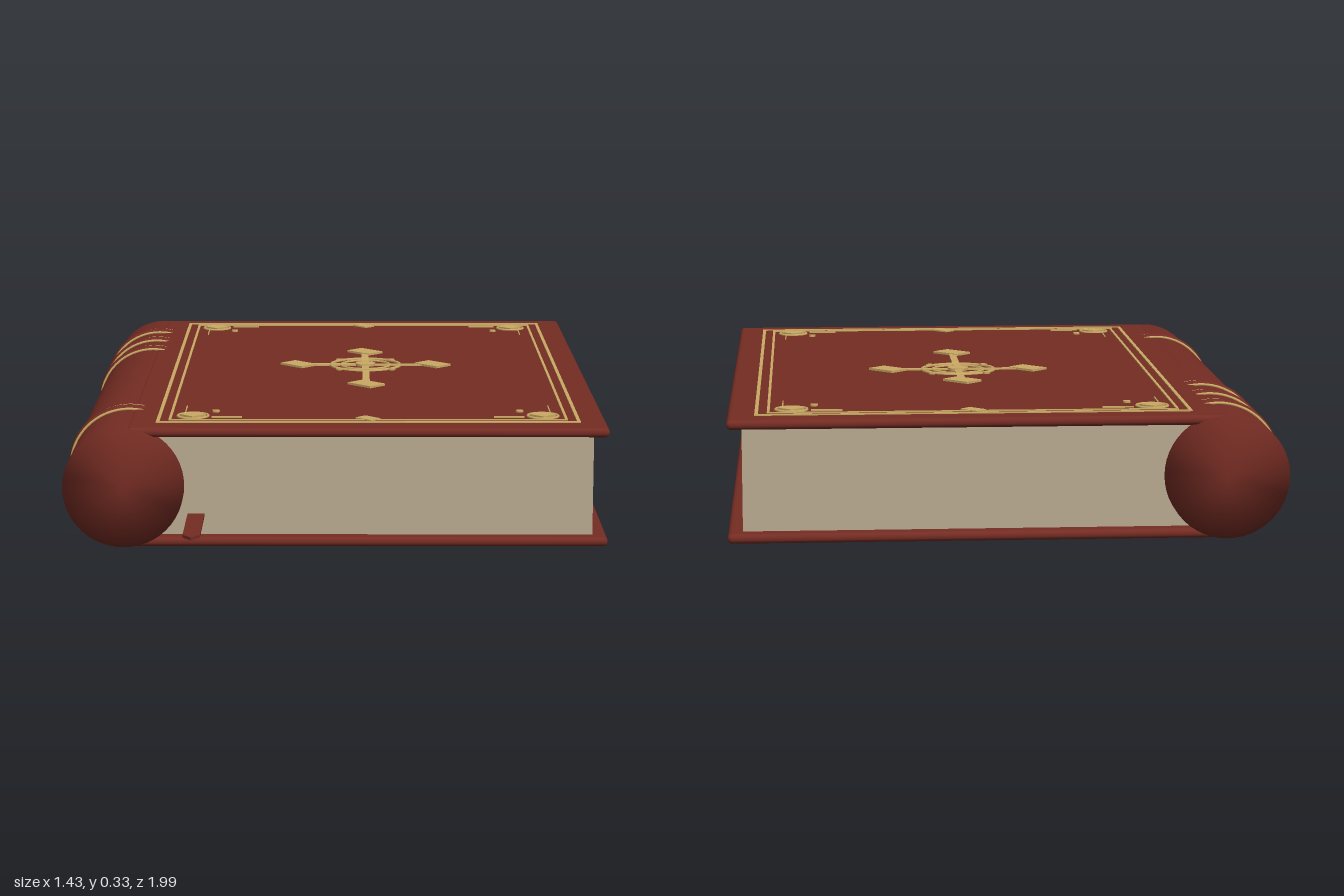
import * as THREE from 'three';
import { mergeVertices } from 'three/addons/utils/BufferGeometryUtils.js';
import { RoundedBoxGeometry } from 'three/addons/geometries/RoundedBoxGeometry.js';

const leather = new THREE.MeshStandardMaterial({ name: 'red leather', color: 0x742c23 });
const gold = new THREE.MeshStandardMaterial({ name: 'gold', color: 0xcaaa64 });
const paper = new THREE.MeshStandardMaterial({ name: 'paper', color: 0xbaab92 });

const TOP = 0.325; // upper face of the front cover
const CX = 0.087, CZ = -0.118; // centre of the cover decoration
const SPINE = { x: -0.549, y: 0.167, r: 0.157 };

export function createModel() {
  const book = new THREE.Group();
  book.name = 'book';

  function add(name, geometry, material, x, y, z, parent = book) {
    const mesh = new THREE.Mesh(geometry, material);
    mesh.name = name;
    mesh.position.set(x, y, z);
    parent.add(mesh);
    return mesh;
  }

  // Covers and page block
  for (const [name, y] of [['frontCover', 0.3125], ['backCover', 0.0235]]) {
    add(name, new RoundedBoxGeometry(1.25, 0.025, 1.766, 4, 0.012), leather, 0.085, y, -0.115);
  }
  add('pages', new THREE.BoxGeometry(1.17, 0.266, 1.69), paper, 0.087, 0.168, -0.114);

  // Spine: normals are shared between the wall and the caps
  let spine = new THREE.CylinderGeometry(SPINE.r, SPINE.r, 1.768, 48).rotateX(Math.PI / 2);
  spine.deleteAttribute('normal');
  spine.deleteAttribute('uv');
  spine = mergeVertices(spine, 1e-4);
  spine.computeVertexNormals();
  add('spine', spine, leather, SPINE.x, SPINE.y, -0.115);

  // Raised spine bands, each edged with two gold rings
  [-0.782, -0.625, -0.468, 0.482].forEach((z) => {
    const band = new THREE.Group();
    band.name = 'spineBand';
    book.add(band);
    add('bandRib', new THREE.TorusGeometry(0.141, 0.026, 12, 64), leather, SPINE.x, SPINE.y, z, band);
    for (const s of [-1, 1]) {
      add('bandTrim', new THREE.TorusGeometry(0.159, 0.004, 6, 64), gold, SPINE.x, SPINE.y, z + s * 0.028, band);
    }
  });

  // Ribbon bookmark with a pointed tip
  const strip = new THREE.Shape([[-0.022, 0], [0.022, 0], [0.022, 0.47], [0, 0.5], [-0.022, 0.47]]
    .map(([x, y]) => new THREE.Vector2(x, y)));
  const ribbon = new THREE.ExtrudeGeometry(strip, { depth: 0.008, bevelEnabled: false }).rotateX(Math.PI / 2);
  add('ribbon', ribbon, leather, -0.362, 0.091, 0.495);

  // Gold decoration on the front cover
  const ornament = new THREE.Group();
  ornament.name = 'coverOrnament';
  book.add(ornament);

  function plate(name, x, z, w, d, turn = 0, h = 0.004) {
    const mesh = add(name, new THREE.BoxGeometry(w, h, d), gold, x, TOP + h / 2, z, ornament);
    mesh.rotation.y = turn;
  }
  function ring(name, x, z, r, tube) {
    add(name, new THREE.TorusGeometry(r, tube, 6, 48).rotateX(Math.PI / 2), gold, x, TOP + 0.001, z, ornament);
  }
  function dot(name, x, z, r, h = 0.005) {
    add(name, new THREE.CylinderGeometry(r, r, h, 20), gold, x, TOP + h / 2, z, ornament);
  }
  function frame(name, w, d, line) {
    for (const s of [-1, 1]) {
      plate(name, CX, CZ + s * d / 2, w + line, line, 0, 0.003);
      plate(name, CX + s * w / 2, CZ, line, d - line, 0, 0.003);
    }
  }
  frame('outerFrame', 1.098, 1.614, 0.009);
  frame('innerFrame', 1.038, 1.552, 0.007);

  // Corner motifs, mirrored to all four corners
  for (const sx of [-1, 1]) {
    for (const sz of [-1, 1]) {
      const x = CX + sx * 0.461, z = CZ + sz * 0.722;
      plate('cornerDiamond', x, z, 0.048, 0.048, Math.PI / 4, 0.006);
      ring('cornerRing', x, z, 0.04, 0.004);
      plate('cornerLine', x - sx * 0.09, z + sz * 0.021, 0.08, 0.005);
      plate('cornerLine', x + sx * 0.022, z - sz * 0.088, 0.003, 0.08);
      dot('cornerDot', x - sx * 0.058, z - sz * 0.06, 0.01);
    }
  }

  // Small lozenges at the middle of the short sides
  for (const s of [-1, 1]) plate('edgeLozenge', CX, CZ + s * 0.762, 0.056, 0.037, -Math.PI / 4);

  // Central cross with rings and lozenge ends
  const crossZ = -0.172;
  plate('crossUpright', CX, -0.125, 0.02, 0.5);
  plate('crossArm', CX, crossZ, 0.38, 0.02);
  for (const [x, z] of [[CX, -0.387], [CX, 0.147], [CX - 0.195, crossZ], [CX + 0.195, crossZ]]) {
    plate('crossLozenge', x, z, 0.088, 0.06, -Math.PI / 4, 0.006);
  }
  ring('outerRing', CX, crossZ, 0.1, 0.005);
  ring('innerRing', CX, crossZ, 0.071, 0.004);
  dot('crossCentre', CX, crossZ, 0.029, 0.007);
  for (const sx of [-1, 1]) {
    for (const sz of [-1, 1]) dot('ringDot', CX + sx * 0.075, crossZ + sz * 0.075, 0.011);
  }

  return book;
}
